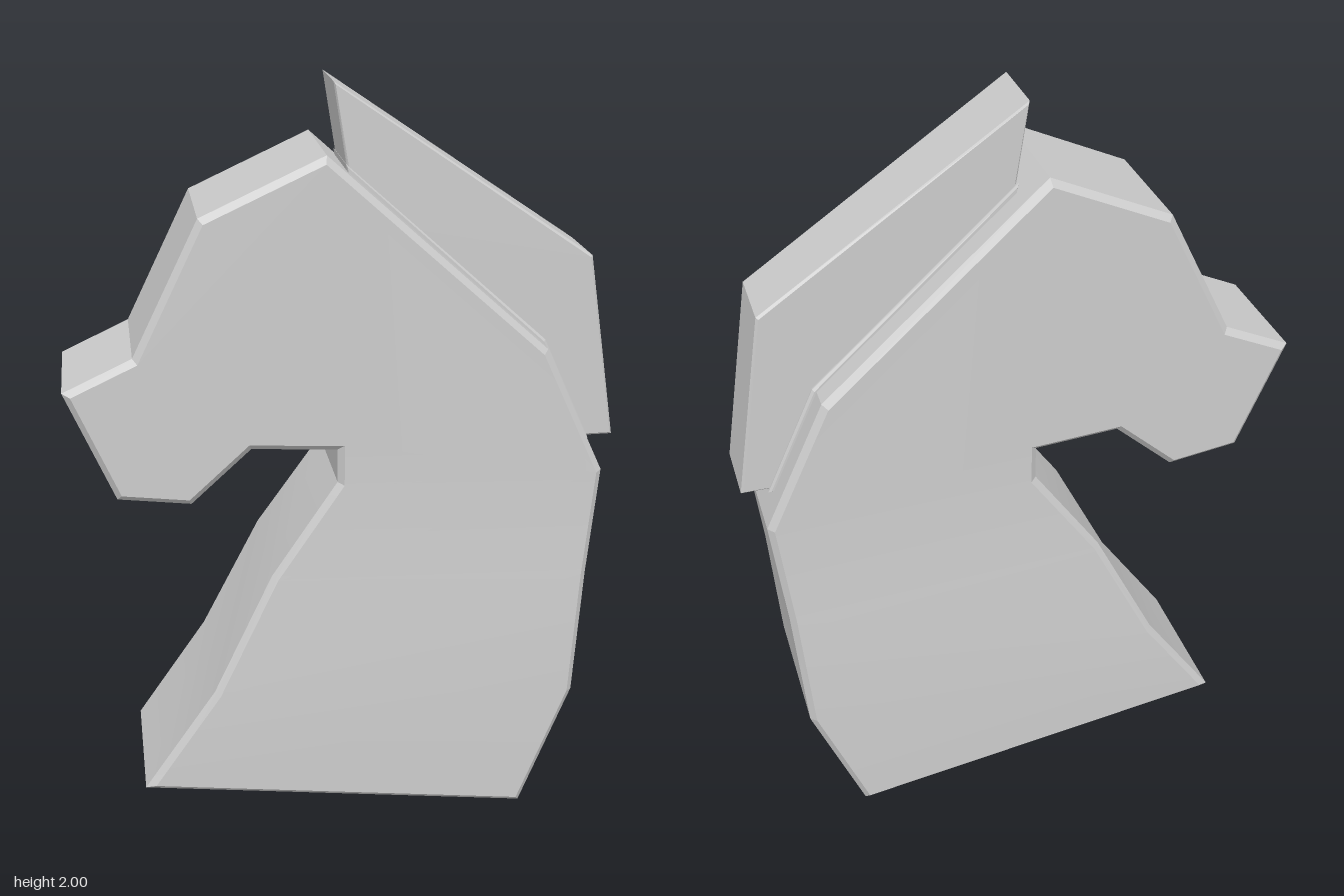
import * as THREE from 'three';
import { toCreasedNormals } from 'three/addons/utils/BufferGeometryUtils.js';

const BEVEL = 0.016;
const material = new THREE.MeshStandardMaterial({ color: 0xcccccc });

const toPoints = (pairs) => pairs.map(([x, y]) => new THREE.Vector2(x, y));

// Side outline, counter-clockwise from the front foot of the neck
const outline = toPoints([
  [-0.565, 0.15], [0.475, 0], [0.61, 0.35], [0.635, 0.7], [0.665, 0.99],
  [0.505, 1.33], [-0.06, 1.84], [-0.37, 1.7], [-0.54, 1.36], [-0.715, 1.28],
  [-0.595, 0.99], [-0.41, 0.965], [-0.255, 1.105], [-0.035, 1.09],
  [-0.035, 1.0], [-0.21, 0.75], [-0.37, 0.43],
]);

// Mitred inward offset of a counter-clockwise loop
function inset(loop, d) {
  const n = loop.length;
  const inward = (a, b) => new THREE.Vector2(a.y - b.y, b.x - a.x).normalize();
  return loop.map((p, i) => {
    const n1 = inward(loop[(i + n - 1) % n], p);
    const n2 = inward(p, loop[(i + 1) % n]);
    const m = n1.clone().add(n2);
    return p.clone().addScaledVector(m, d / (1 + n1.dot(n2)));
  });
}

// The neck thickens toward its foot
const halfWidth = (y) => 0.177 + 0.035 * (1 - THREE.MathUtils.smoothstep(y, 0.38, 1.0));

function bodyGeometry() {
  const n = outline.length;
  const inner = inset(outline, BEVEL);
  const positions = [];
  const index = [];
  const addLoop = (loop, side, lower) => loop.forEach((p, i) =>
    positions.push(p.x, p.y, side * (halfWidth(outline[i].y) - lower)));

  // Four loops from back to front: face, rim, rim, face
  addLoop(inner, -1, 0);
  addLoop(outline, -1, BEVEL);
  addLoop(outline, 1, BEVEL);
  addLoop(inner, 1, 0);
  for (let ring = 0; ring < 3; ring++) {
    for (let i = 0; i < n; i++) {
      const a = ring * n + i, b = ring * n + (i + 1) % n;
      index.push(a, b, b + n, a, b + n, a + n);
    }
  }

  // Flat sides: bands across the neck, then the head polygon
  const faces = [];
  for (const [a, b, c, d] of [[0, 1, 2, 16], [16, 2, 3, 15], [15, 3, 4, 14]]) {
    faces.push([a, b, c], [a, c, d]);
  }
  for (const tri of THREE.ShapeUtils.triangulateShape(inner.slice(4, 15), [])) {
    faces.push(tri.map((i) => i + 4));
  }
  for (const [a, b, c] of faces) {
    index.push(a + 3 * n, b + 3 * n, c + 3 * n, a, c, b);
  }

  const geometry = new THREE.BufferGeometry();
  geometry.setAttribute('position', new THREE.Float32BufferAttribute(positions, 3));
  geometry.setIndex(index);
  return toCreasedNormals(geometry, 0.2);
}

// Extruded slab centred on z = 0 with a small bevel kept inside its outline
function slab(pairs, width, bevel) {
  const geometry = new THREE.ExtrudeGeometry(new THREE.Shape(toPoints(pairs)), {
    depth: width - 2 * bevel, bevelEnabled: true, bevelSegments: 1,
    bevelSize: bevel, bevelThickness: bevel, bevelOffset: -bevel,
  });
  geometry.translate(0, 0, bevel - width / 2);
  return geometry;
}

export function createModel() {
  const group = new THREE.Group();
  const add = (name, geometry) => {
    const mesh = new THREE.Mesh(geometry, material);
    mesh.name = name;
    group.add(mesh);
  };

  add('headAndNeck', bodyGeometry());

  // Crest standing along the back of the head, rooted in the neck
  add('mane', slab([
    [0.02, 1.66], [0.44, 1.28], [0.58, 1.06], [0.712, 1.06],
    [0.63, 1.55], [-0.033, 2.0],
  ], 0.19, 0.006));

  // Low ledge where the mane meets the neck
  add('maneRoot', slab([
    [0.02, 1.66], [0.44, 1.28], [0.59, 1.055], [0.645, 1.055],
    [0.515, 1.335], [-0.005, 1.805],
  ], 0.21, 0.006));

  return group;
}
